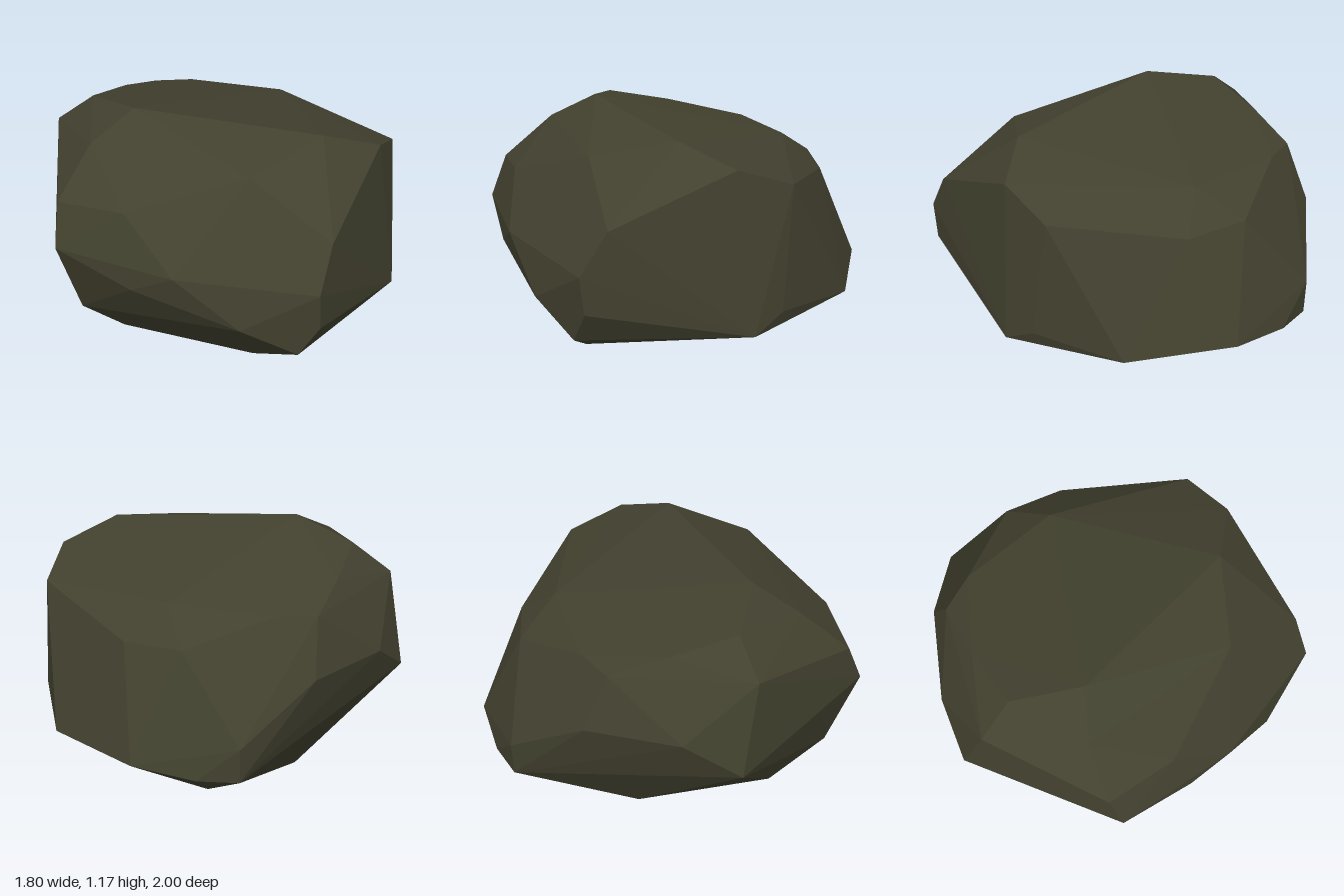
import * as THREE from 'three';
import { ConvexGeometry } from 'three/addons/geometries/ConvexGeometry.js';

export function createModel() {
  const group = new THREE.Group();
  group.name = 'rock';
  const stone = new THREE.MeshStandardMaterial({ color: 0x42412f });
  stone.name = 'dark olive stone';

  // Corners of the boulder, grouped by side
  const crown = [
    [-0.46, 1.17, 0.11], [0.45, 1.13, 0.42], [0.75, 1.03, 0.34], [0.87, 0.93, 0.07],
    [0.07, 1.03, 0.65], [-0.68, 1.04, 0.23], [-0.67, 1.11, -0.2], [-0.5, 1.04, -0.49],
    [0.35, 0.99, -0.48],
  ];
  const front = [
    [0.44, 0.79, 0.88], [0.37, 0.58, 1], [0.38, 0.39, 0.98], [0.28, 0.23, 0.96],
    [0, 0.375, 0.955], [-0.31, 0.61, 0.85], [-0.51, 0.49, 0.73], [-0.53, 0.85, 0.62],
  ];
  const sides = [
    [0.9, 0.28, -0.34], [0.86, 0.22, 0.32], [0.89, 0.31, 0.15],
    [-0.87, 0.61, 0.51], [-0.85, 0.82, 0.42], [-0.86, 0.96, -0.26], [-0.9, 0.49, -0.39],
  ];
  const back = [
    [0.11, 0.44, -1], [0.11, 0.26, -0.995], [0.31, 0.27, -0.95], [0.6, 0.31, -0.81],
    [0.57, 0.83, -0.53], [0.33, 0.85, -0.73], [-0.13, 0.97, -0.71], [-0.33, 0.96, -0.73],
    [-0.29, 0.69, -0.86], [-0.7, 0.68, -0.6],
  ];
  const base = [
    [0.04, 0, -0.01], [0.09, 0.075, 0.71], [-0.55, 0.04, 0.35], [-0.59, 0.05, 0.2],
    [-0.73, 0.14, 0], [-0.76, 0.2, 0.4], [-0.3, 0.045, -0.52], [0.23, 0.15, -0.84],
  ];

  // Faceted shell wrapped around the corners
  const corners = [crown, front, sides, back, base].flat().map((p) => new THREE.Vector3(...p));
  const boulder = new THREE.Mesh(new ConvexGeometry(corners), stone);
  boulder.name = 'boulder';
  group.add(boulder);
  return group;
}
